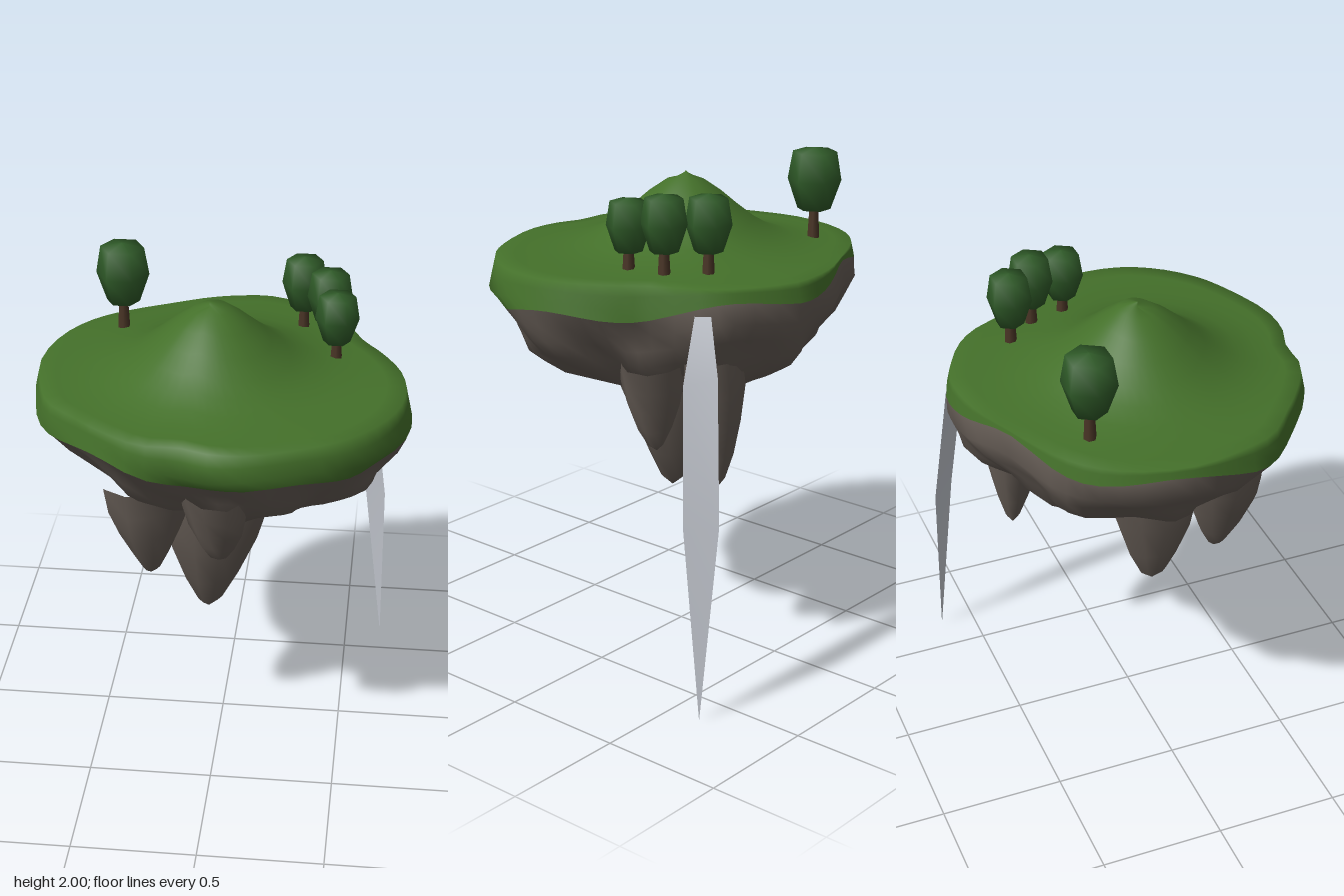
import * as THREE from 'three';

const COLS = 60;
const GRASS = new THREE.MeshStandardMaterial({ color: 0x44702a });
const ROCK = new THREE.MeshStandardMaterial({ color: 0x655c55 });
const LEAF = new THREE.MeshStandardMaterial({ color: 0x2f5a28 });
const BARK = new THREE.MeshStandardMaterial({ color: 0x4a3526 });
const WATER = new THREE.MeshStandardMaterial({ color: 0xc4c8d0, side: THREE.DoubleSide });

// Island outline seen from above (x, z)
const OUTLINE = new THREE.CatmullRomCurve3([
  [0.75, 0.1], [0.73, 0.27], [0.66, 0.41], [0.55, 0.53], [0.42, 0.61], [0.18, 0.70], [0.02, 0.70],
  [-0.1, 0.66], [-0.26, 0.65], [-0.45, 0.53], [-0.53, 0.46], [-0.66, 0.34], [-0.72, 0.18],
  [-0.755, -0.03], [-0.71, -0.25], [-0.62, -0.4], [-0.5, -0.5], [-0.28, -0.61], [-0.12, -0.68],
  [0.02, -0.71], [0.15, -0.71], [0.36, -0.61], [0.46, -0.51], [0.56, -0.31], [0.64, -0.2], [0.72, -0.05],
].map(([x, z]) => new THREE.Vector3(x, 0, z)), true);
const RIM = OUTLINE.getPoints(COLS).slice(0, COLS);

// Belly width relative to the outline, by height
const BELLY = [[1.66, 0.95], [1.6, 0.97], [1.5, 1], [1.38, 0.88], [1.28, 0.78], [1.18, 0.6], [1.1, 0.35], [1.06, 0]];
function bellyScale(y) {
  for (let i = 1; i < BELLY.length; i++) {
    const [y0, s0] = BELLY[i - 1], [y1, s1] = BELLY[i];
    if (y >= y1) return s0 + (s1 - s0) * (y0 - y) / (y0 - y1);
  }
  return 0;
}

// Smooth closed surface through rows of points, listed from the top down
function loft(rows) {
  const n = rows[0].length, index = [];
  for (let i = 0; i < rows.length - 1; i++) {
    for (let j = 0; j < n; j++) {
      const a = i * n + j, b = i * n + (j + 1) % n;
      index.push(a, b, a + n, b, b + n, a + n);
    }
  }
  const geometry = new THREE.BufferGeometry().setFromPoints(rows.flat());
  geometry.setIndex(index);
  geometry.computeVertexNormals();
  return geometry;
}

function addMesh(parent, name, geometry, material) {
  const mesh = new THREE.Mesh(geometry, material);
  mesh.name = name;
  parent.add(mesh);
  return mesh;
}

const rimHeight = (p) => 1.622 + 0.012 * p.x - 0.012 * p.z;

// Top ground: a rounded hill on a nearly flat plateau
function groundPoint(p, s) {
  const x = p.x * s - 0.05 * (1 - s), z = p.z * s + 0.02 * (1 - s);
  const d = Math.hypot(x + 0.05, z - 0.02);
  const bump = 0.008 * Math.sin(7 * x + 2) * Math.sin(6 * z) * (1 - s);
  const y = rimHeight(p) + 0.02 * (1 - s) + 0.268 * Math.exp(-((d / 0.27) ** 2)) * (1 - s ** 6) + bump;
  return new THREE.Vector3(x, y, z);
}

// Craggy side of the island
function sidePoint(p, y) {
  const a = Math.atan2(p.z, p.x), depth = THREE.MathUtils.clamp((1.5 - y) / 0.2, 0, 1);
  const crag = 0.05 * Math.sin(7 * a + 9 * y) + 0.035 * Math.sin(12 * a - 14 * y);
  const s = bellyScale(y) * (1 + depth * crag);
  return new THREE.Vector3(p.x * s + 0.03 * depth, y, p.z * s - 0.02 * depth);
}

// How far the grass hangs down the side: lowest at the front
function grassEdge(p) {
  const a = Math.atan2(p.z, p.x);
  return 1.52 - 0.06 * Math.sin(a) - 0.025 * Math.cos(a) + 0.025 * Math.sin(6 * a + 1);
}

function addIsland(parent) {
  const grass = [0, 0.1, 0.2, 0.3, 0.4, 0.5, 0.62, 0.75, 0.87].map((s) => RIM.map((p) => groundPoint(p, s)));
  for (const t of [0, 0.3, 0.65, 1]) {
    grass.push(RIM.map((p) => sidePoint(p, THREE.MathUtils.lerp(rimHeight(p), grassEdge(p), t))));
  }
  addMesh(parent, 'grass', loft(grass), GRASS);

  const rock = [0, 0.15, 0.3, 0.45, 0.58, 0.7, 0.8, 0.9, 1].map((t) =>
    RIM.map((p) => sidePoint(p, THREE.MathUtils.lerp(grassEdge(p), 1.06, t))));
  addMesh(parent, 'rockBelly', loft(rock), ROCK);
}

// Hanging rock spike with an uneven round section
function addSpike(parent, x, z, top, tip, radius, leanX, leanZ, seed) {
  const profile = [[0, 1.05], [0.25, 0.95], [0.5, 0.76], [0.75, 0.5], [0.93, 0.24], [1, 0]];
  const rows = profile.map(([t, r]) => Array.from({ length: 10 }, (_, j) => {
    const a = j / 10 * Math.PI * 2;
    const k = radius * r * (1 + 0.1 * Math.sin(3 * a + seed + 2 * t) + 0.06 * Math.sin(2 * a + 5 * t + seed));
    return new THREE.Vector3(
      x + leanX * (1 - t) + Math.cos(a) * k,
      THREE.MathUtils.lerp(top, tip, t),
      z + leanZ * (1 - t) + Math.sin(a) * k);
  }));
  addMesh(parent, 'rockSpike', loft(rows), ROCK);
}

// Six-sided tree with a tapering trunk
function addTree(parent, x, z, ground, top, radius, height) {
  const tree = new THREE.Group();
  tree.name = 'tree';
  const profile = [[0, 0], [0.62, 0], [1, 0.48], [0.82, 0.93], [0, 1]]
    .map(([r, h]) => new THREE.Vector2(r * radius, h * height));
  const crown = addMesh(tree, 'crown', new THREE.LatheGeometry(profile, 6, Math.PI / 2), LEAF);
  crown.position.y = top - height;
  const trunkHeight = top - height - ground + 0.05;
  const trunk = addMesh(tree, 'trunk', new THREE.CylinderGeometry(0.017, 0.026, trunkHeight, 6), BARK);
  trunk.position.y = ground + trunkHeight / 2;
  tree.position.set(x, 0, z);
  parent.add(tree);
}

// Thin ribbon of falling water that narrows to a point
function addWaterfall(parent) {
  const edges = [
    [0.455, 1.54, -0.53], [0.49, 1.54, -0.48],
    [0.50, 1.33, -0.60], [0.585, 1.30, -0.505],
    [0.56, 0.77, -0.66], [0.65, 0.77, -0.56],
    [0.655, 0, -0.645],
  ].map((p) => new THREE.Vector3(...p));
  const geometry = new THREE.BufferGeometry().setFromPoints(edges);
  geometry.setIndex([0, 2, 1, 1, 2, 3, 2, 4, 3, 3, 4, 5, 4, 6, 5]);
  geometry.computeVertexNormals();
  addMesh(parent, 'waterfall', geometry, WATER);
}

export function createModel() {
  const model = new THREE.Group();
  model.name = 'floatingIsland';
  addIsland(model);

  // x, z, top, tip, radius, lean of the root, seed
  [
    [-0.05, 0.09, 1.25, 0.57, 0.215, 0.03, 0, 0],
    [-0.26, 0.28, 1.28, 0.84, 0.16, -0.02, 0.01, 1],
    [0.27, -0.41, 1.32, 0.78, 0.13, 0.01, 0.02, 2],
    [0.43, -0.24, 1.3, 0.94, 0.125, 0.03, 0, 3],
    [0.03, 0.43, 1.34, 1.01, 0.14, 0, 0.03, 4],
  ].forEach((spike) => addSpike(model, ...spike));

  // x, z, ground, top, radius, crown height
  [
    [-0.44, -0.325, 1.63, 2.0, 0.108, 0.25],
    [0.29, -0.38, 1.63, 1.95, 0.09, 0.22],
    [0.4, -0.255, 1.63, 1.95, 0.09, 0.22],
    [0.437, -0.11, 1.63, 1.92, 0.087, 0.205],
  ].forEach((tree) => addTree(model, ...tree));

  addWaterfall(model);
  return model;
}
